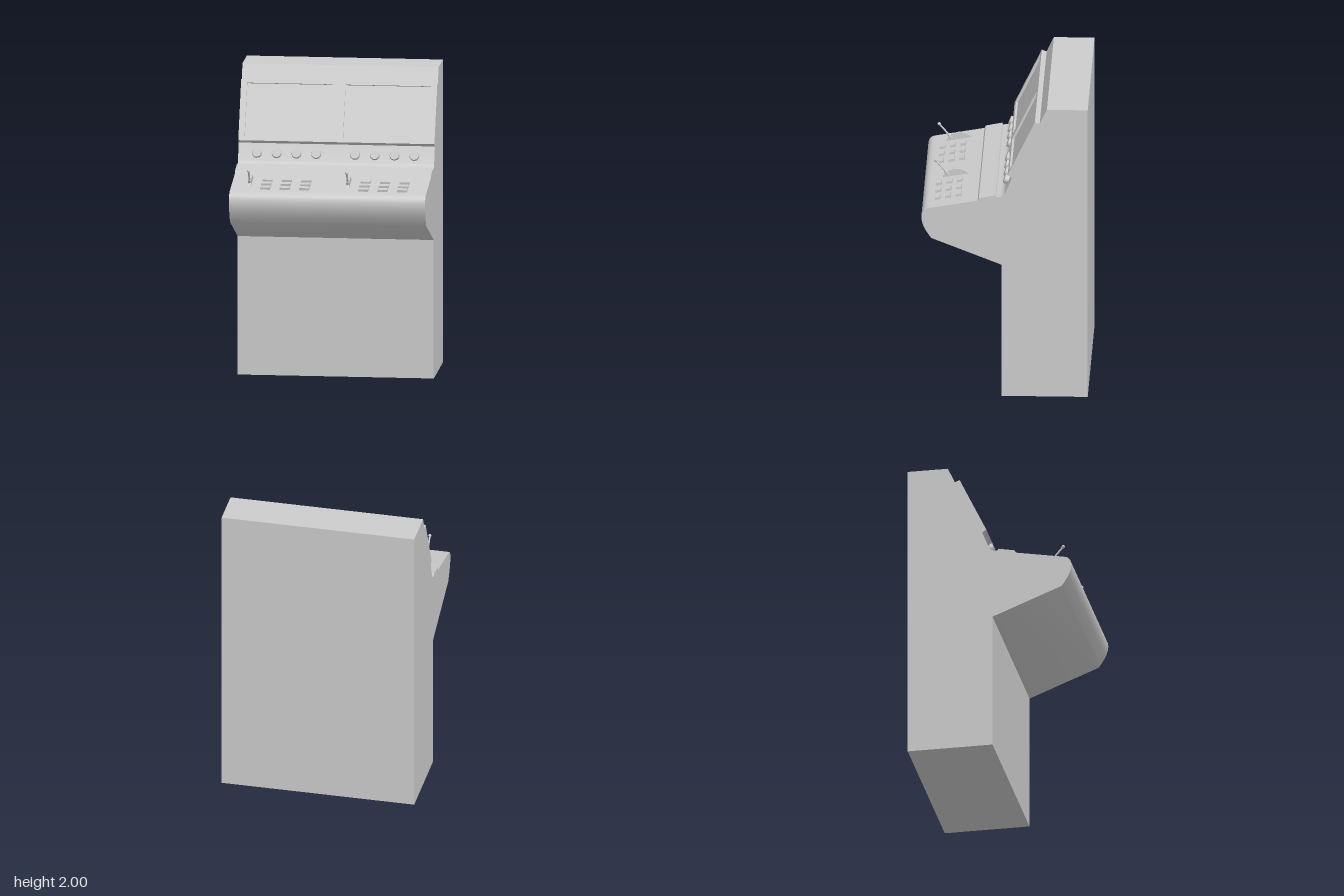
import * as THREE from 'three';
import { toCreasedNormals } from 'three/addons/utils/BufferGeometryUtils.js';

const material = new THREE.MeshStandardMaterial({ color: 0xcccccc });

function add(parent, name, geometry, x = 0, y = 0, z = 0, tilt = 0) {
  const mesh = new THREE.Mesh(geometry, material);
  mesh.name = name;
  mesh.position.set(x, y, z);
  mesh.rotation.x = tilt;
  parent.add(mesh);
  return mesh;
}

// Extrude a side profile drawn in (z, y) across the width, centred on x
function extrudeAcross(shape, width, curveSegments = 8) {
  const geo = new THREE.ExtrudeGeometry(shape, { depth: width, bevelEnabled: false, curveSegments });
  geo.translate(0, 0, -width / 2).rotateY(-Math.PI / 2);
  return toCreasedNormals(geo, 0.62);
}

function rectPath(PathType, x0, y0, x1, y1) {
  return new PathType([[x0, y0], [x1, y0], [x1, y1], [x0, y1]].map(([x, y]) => new THREE.Vector2(x, y)));
}

const WIDTH = 1.28;
const DECK_TILT = 0.177;
const deckY = (z) => 1.36 - (z - 0.175) * Math.tan(DECK_TILT);

export function createModel() {
  const model = new THREE.Group();
  model.name = 'controlConsole';

  // Cabinet with overhanging control deck
  const body = new THREE.Shape();
  body.moveTo(-0.54, 0);
  body.lineTo(0.02, 0);
  body.lineTo(0.02, 0.915);
  body.lineTo(0.475, 1.095);
  body.quadraticCurveTo(0.54, 1.18, 0.54, 1.24);
  body.quadraticCurveTo(0.54, 1.297, 0.49, deckY(0.49));
  body.lineTo(0.175, 1.36);
  body.lineTo(0.167, 1.377);
  body.lineTo(0.06, 1.398);
  body.lineTo(0.053, 1.386);
  body.lineTo(0.03, 1.389);
  body.quadraticCurveTo(0.004, 1.393, -0.006, 1.418);
  body.lineTo(-0.047, 1.52);
  body.lineTo(-0.033, 1.534);
  body.lineTo(-0.21, 1.906);
  body.lineTo(-0.228, 1.9);
  body.lineTo(-0.275, 2);
  body.lineTo(-0.54, 2);
  add(model, 'cabinet', extrudeAcross(body, WIDTH), 0, 0, 0);

  // Raised frame around two recessed screens
  const frame = rectPath(THREE.Shape, -WIDTH / 2, 0, WIDTH / 2, 0.412);
  frame.holes.push(rectPath(THREE.Path, -0.6, 0.025, -0.042, 0.387));
  frame.holes.push(rectPath(THREE.Path, 0.042, 0.025, 0.6, 0.387));
  add(model, 'screenFrame', new THREE.ExtrudeGeometry(frame, { depth: 0.0145, bevelEnabled: false }),
    0, 1.534, -0.033, -0.4445);

  // Shared control shapes
  const stemGeo = new THREE.CylinderGeometry(0.025, 0.025, 0.02, 12).rotateX(Math.PI / 2);
  const capGeo = toCreasedNormals(new THREE.CylinderGeometry(0.029, 0.033, 0.018, 12).rotateX(Math.PI / 2), 0.6);
  const buttonGeo = new THREE.BoxGeometry(0.064, 0.032, 0.036);
  const guard = new THREE.Shape();
  guard.moveTo(0.085, -0.015);
  guard.lineTo(0.085, 0);
  guard.quadraticCurveTo(0.055, 0.042, 0, 0.044);
  guard.quadraticCurveTo(-0.055, 0.042, -0.085, 0);
  guard.lineTo(-0.085, -0.015);
  const guardGeo = extrudeAcross(guard, 0.017);

  // Two identical control sets, side by side
  for (const [side, originX] of [['right', -0.52], ['left', 0.12]]) {
    const controls = new THREE.Group();
    controls.name = side + 'Controls';
    controls.position.x = originX;
    model.add(controls);

    // Row of dials under the screen
    for (let i = 0; i < 4; i++) {
      const dial = new THREE.Group();
      dial.name = 'dial';
      dial.position.set(0.003 + i * 0.129, 1.457, -0.021);
      dial.rotation.x = -0.37;
      add(dial, 'dialStem', stemGeo, 0, 0, 0.004);
      add(dial, 'dialCap', capGeo, 0, 0, 0.02);
      controls.add(dial);
    }

    // Button grid
    for (let row = 0; row < 3; row++) {
      for (let col = 0; col < 3; col++) {
        const z = 0.303 + row * 0.068;
        add(controls, 'button', buttonGeo, 0.106 + col * 0.127, deckY(z), z, DECK_TILT);
      }
    }

    // Lever in a rounded guard
    add(controls, 'leverGuard', guardGeo, 0, deckY(0.335), 0.335, DECK_TILT);
    const lever = new THREE.Group();
    lever.name = 'lever';
    lever.position.set(0, 1.335, 0.383);
    lever.rotation.x = 0.7;
    add(lever, 'leverCollar', new THREE.CylinderGeometry(0.009, 0.012, 0.035, 12), 0, 0.0175, 0);
    add(lever, 'leverRod', new THREE.CylinderGeometry(0.006, 0.006, 0.125, 10), 0, 0.0625, 0);
    add(lever, 'leverKnob', new THREE.SphereGeometry(0.011, 12, 8), 0, 0.127, 0);
    controls.add(lever);
  }

  return model;
}
